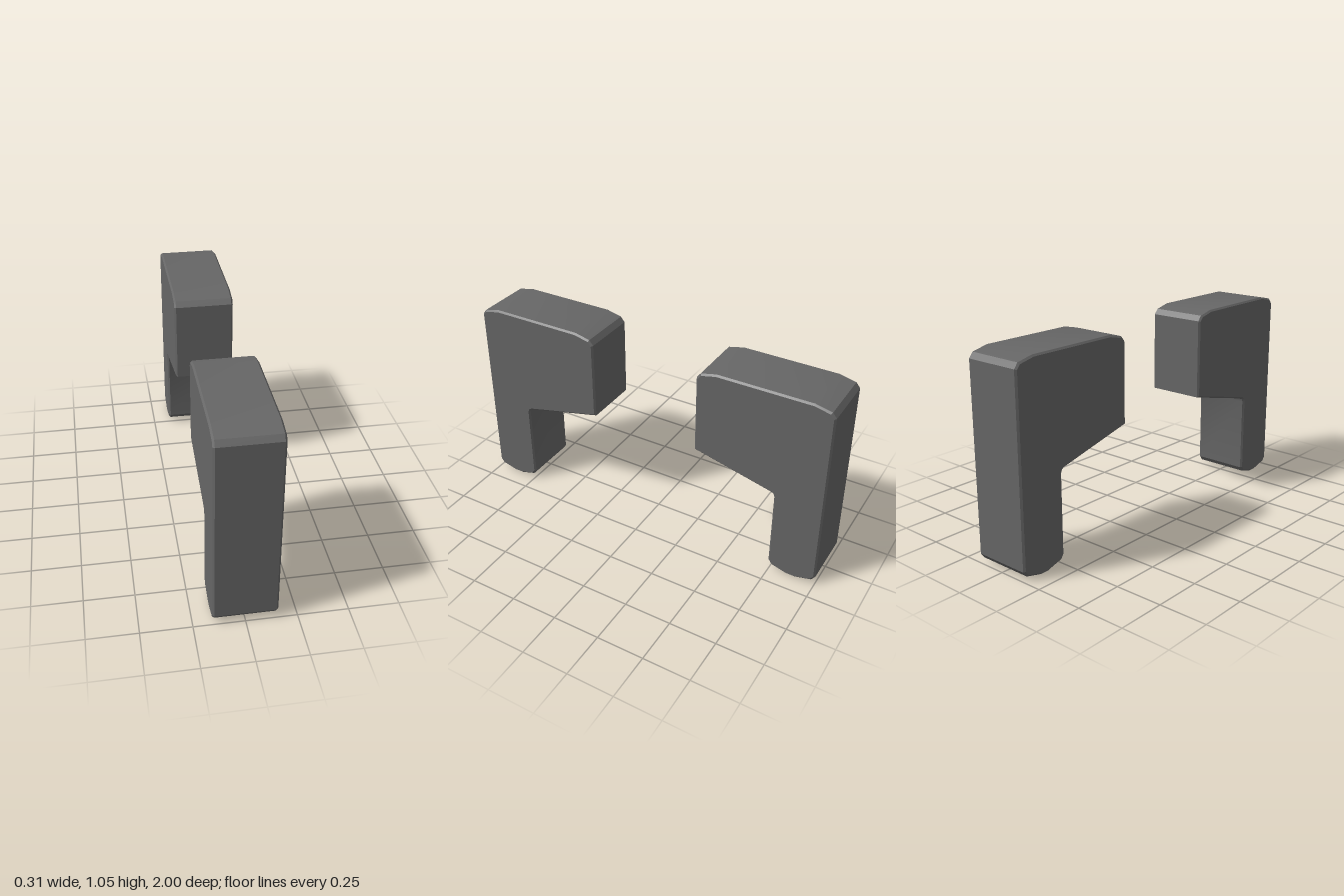
import * as THREE from 'three';
import { toCreasedNormals } from 'three/addons/utils/BufferGeometryUtils.js';

export function createModel() {
  const group = new THREE.Group();
  const darkGrey = new THREE.MeshStandardMaterial({ color: 0x666666 });
  darkGrey.name = 'darkGrey';

  // side profile as (z, y): rounded foot, tall outer face, overhanging head
  const profile = [
    [1, 0.05], [1, 1.008], [0.979, 1.035], [0.893, 1.054],
    [0.4, 1.054], [0.318, 1.035], [0.296, 1.008], [0.296, 0.588],
    [0.722, 0.485], [0.736, 0.477], [0.742, 0.461], [0.742, 0.05],
    [0.76, 0.024], [0.845, 0], [0.893, 0], [0.979, 0.022],
  ].map(([z, y]) => new THREE.Vector2(z, y));

  // extruded across the width with a narrow chamfer on the side edges
  const halfWidth = 0.157, bevel = 0.009;
  const extruded = new THREE.ExtrudeGeometry(new THREE.Shape(profile), {
    depth: 2 * (halfWidth - bevel),
    bevelEnabled: true,
    bevelThickness: bevel,
    bevelSize: bevel,
    bevelOffset: -bevel,
    bevelSegments: 1,
  });
  extruded.translate(0, 0, bevel - halfWidth);
  extruded.rotateY(-Math.PI / 2);
  const geometry = toCreasedNormals(extruded, 0.4);

  // matching front and back brackets, heads facing each other
  ['frontBracket', 'backBracket'].forEach((name, i) => {
    const bracket = new THREE.Mesh(geometry, darkGrey);
    bracket.name = name;
    bracket.rotation.y = i * Math.PI;
    group.add(bracket);
  });
  return group;
}
